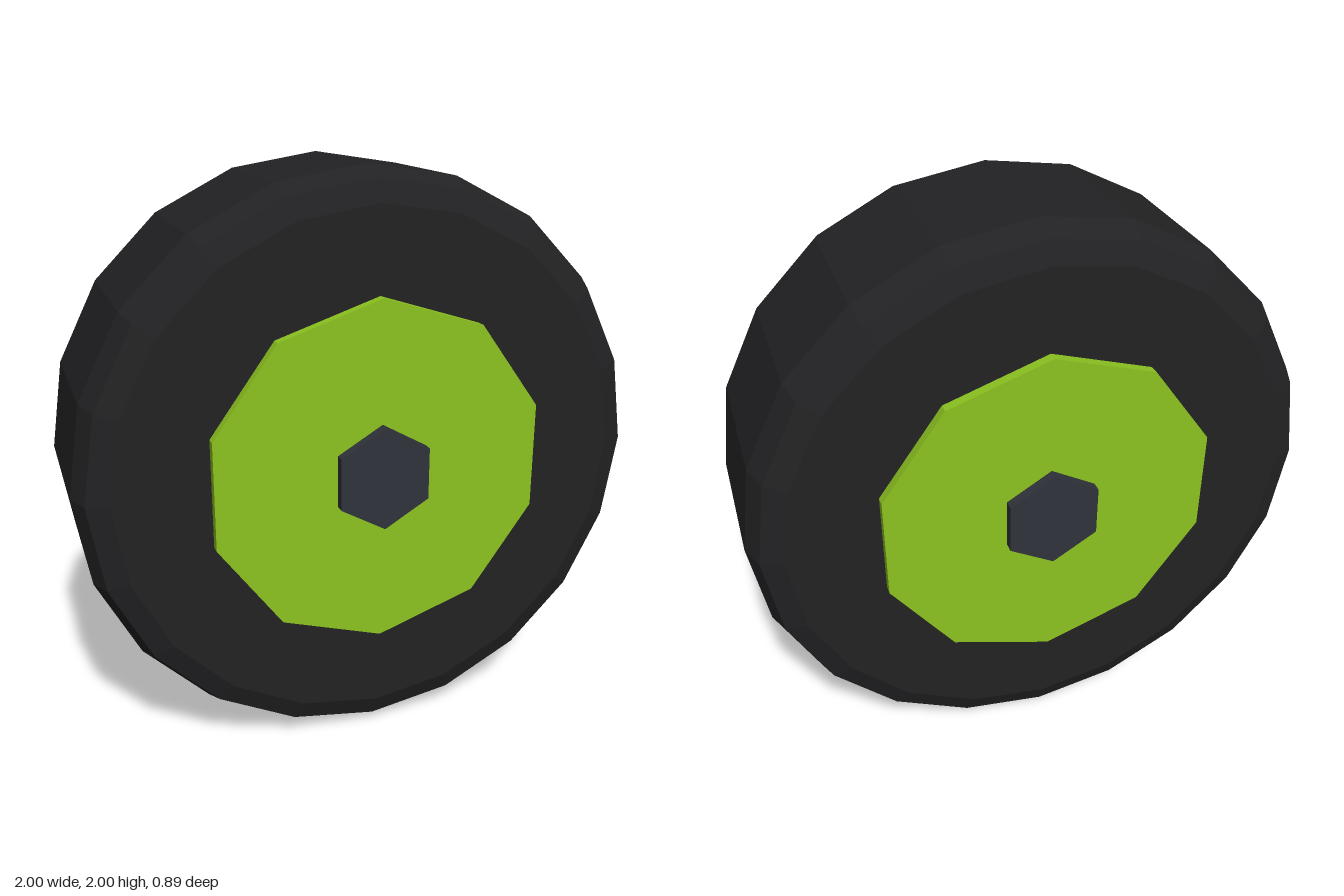
import * as THREE from 'three';

const paint = (color) => new THREE.MeshStandardMaterial({ color, flatShading: true });

// Adds a part whose axle runs along z, with a corner pointing straight up
function addPart(group, name, geometry, color) {
  geometry.rotateX(Math.PI / 2);
  const mesh = new THREE.Mesh(geometry, paint(color));
  mesh.name = name;
  mesh.position.y = 1;
  group.add(mesh);
}

export function createModel() {
  const wheel = new THREE.Group();
  wheel.name = 'wheel';

  // Tyre: 20-sided, with a two-step bevel on each shoulder
  const half = [[0, 0.375], [0.89, 0.375], [0.965, 0.345], [1, 0.26]];
  const profile = [
    ...half.map(([r, z]) => new THREE.Vector2(r, -z)),
    ...half.slice().reverse().map(([r, z]) => new THREE.Vector2(r, z)),
  ];
  addPart(wheel, 'tyre', new THREE.LatheGeometry(profile, 20), 0x222224);

  // Ten-sided rim and six-sided hub, both running through the tyre
  addPart(wheel, 'rim', new THREE.CylinderGeometry(0.6, 0.6, 0.82, 10), 0x8cc220);
  addPart(wheel, 'hub', new THREE.CylinderGeometry(0.18, 0.18, 0.89, 6), 0x31333b);

  return wheel;
}
